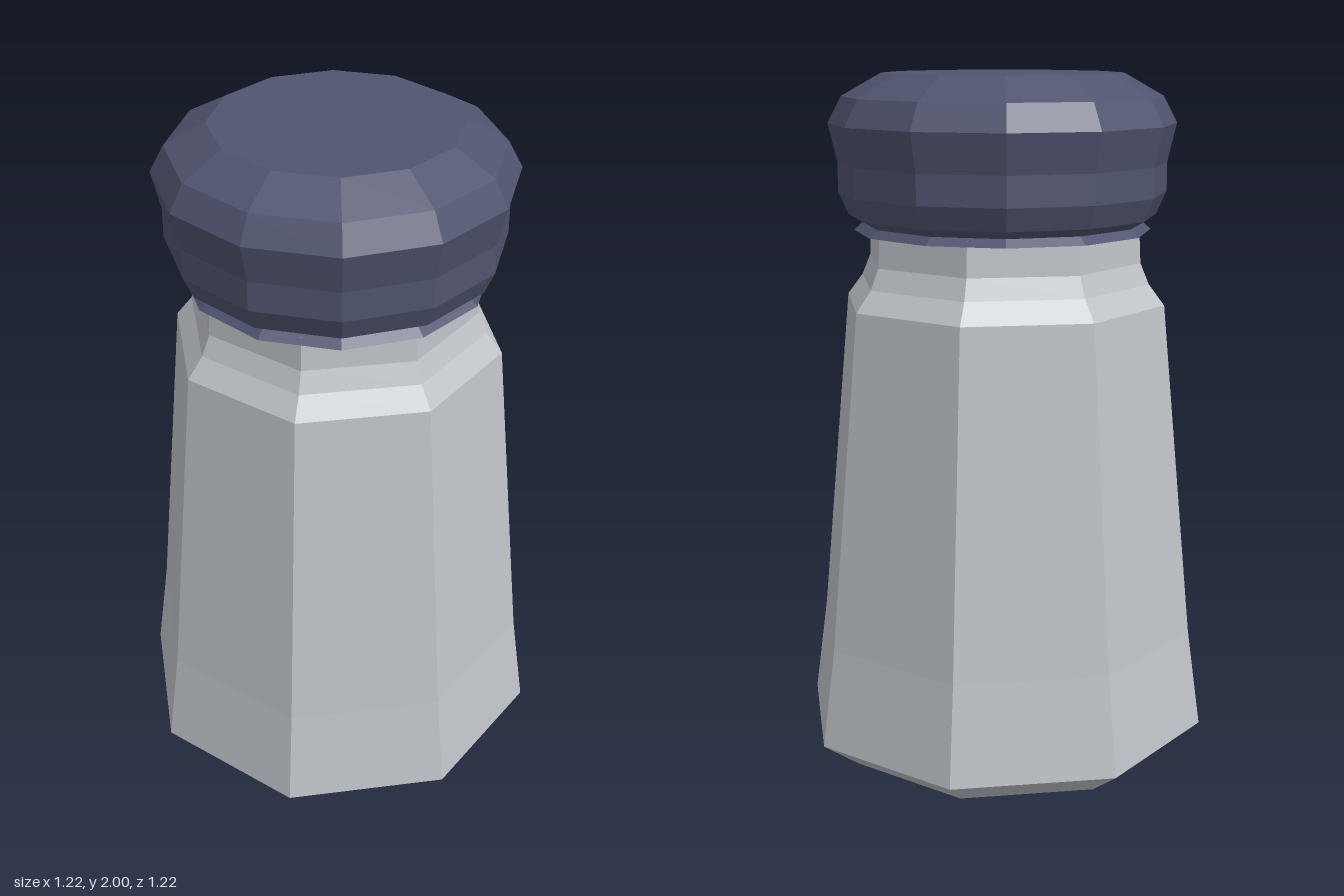
import * as THREE from 'three';

// Faceted solid of revolution; profile is [radius, height] from bottom to top
function turned(name, profile, sides, material) {
  const points = profile.map(([r, y]) => new THREE.Vector2(r, y));
  const mesh = new THREE.Mesh(new THREE.LatheGeometry(points, sides), material);
  mesh.name = name;
  return mesh;
}

function flat(name, color) {
  const material = new THREE.MeshStandardMaterial({ color, flatShading: true });
  material.name = name;
  return material;
}

export function createModel() {
  const glass = flat('pale grey glass', 0xc0c4c9);
  const metal = flat('dark blue metal', 0x50546f);

  const shaker = new THREE.Group();
  shaker.name = 'shaker';

  // Eight-sided tapered body with bevelled foot and narrow neck
  shaker.add(turned('body', [
    [0, 0], [0.5, 0], [0.61, 0.08], [0.57, 0.37], [0.476, 1.35],
    [0.43, 1.41], [0.405, 1.47], [0.4, 1.57], [0, 1.57],
  ], 8, glass));

  // Twelve-sided screw cap with flared rim, waist and domed top
  shaker.add(turned('cap', [
    [0, 1.555], [0.43, 1.555], [0.405, 1.577], [0.445, 1.6], [0.474, 1.665],
    [0.474, 1.75], [0.48, 1.775], [0.5, 1.86], [0.46, 1.935], [0.345, 2], [0, 2],
  ], 12, metal));

  return shaker;
}
